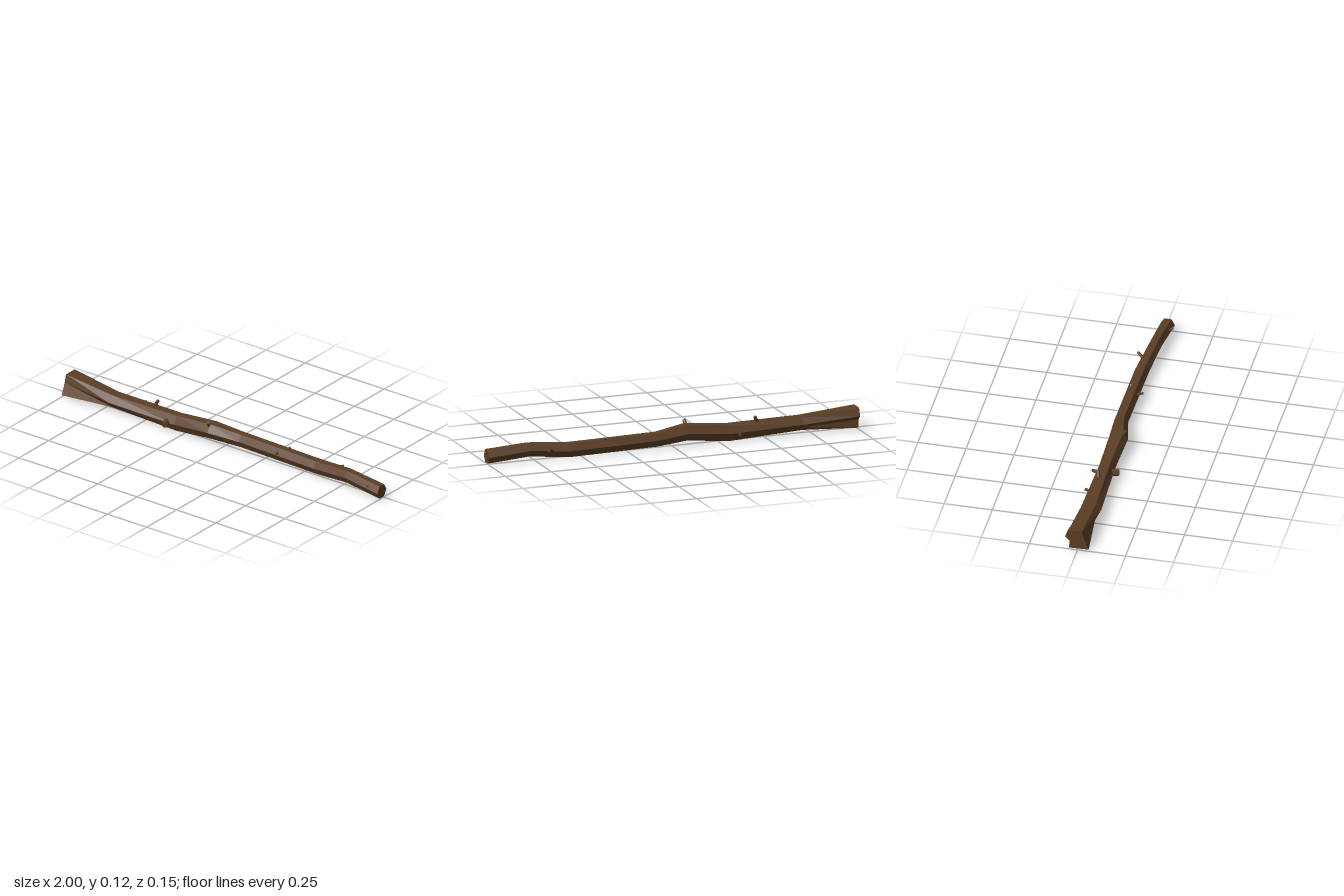
import * as THREE from 'three';

const bark = new THREE.MeshStandardMaterial({ color: 0x5c3f26, flatShading: true, roughness: 1, side: THREE.DoubleSide });

// Stations along the branch: [x, bottom, top, back, front]
const stations = [
  [-0.70, 0.025, 0.092, -0.050, 0.056],
  [-0.30, 0.005, 0.090, -0.045, 0.040],
  [-0.08, 0.030, 0.110, -0.045, 0.053],
  [0.09, 0.019, 0.089, -0.057, 0.014],
  [0.57, 0.010, 0.080, -0.057, 0.017],
  [0.78, 0.029, 0.095, -0.034, 0.034],
  [1.00, 0.009, 0.077, -0.023, 0.053],
];

// Flat-topped hexagon, with one extra corner on the lower back side
function ring([x, y0, y1, z0, z1]) {
  const ym = (y0 + y1) / 2, q = (z1 - z0) / 4;
  return [[z1, ym], [z1 - q, y1], [z0 + q, y1], [z0, ym], [z0 + q / 2, (y0 + ym) / 2], [z0 + q, y0], [z1 - q, y0]]
    .map(([z, y]) => new THREE.Vector3(x, y, z));
}

// Flared, notched thick end
const flaredEnd = [[0.033, 0.078], [0.022, 0.119], [-0.05, 0.12], [-0.065, 0.078], [-0.04, 0.055], [-0.045, 0.013], [0.058, 0.015]]
  .map(([z, y]) => new THREE.Vector3(-1, y, z));

function loft(rings) {
  const pos = [], n = rings[0].length;
  const tri = (...pts) => pts.forEach(p => pos.push(p.x, p.y, p.z));
  for (let i = 0; i < rings.length - 1; i++) {
    for (let j = 0; j < n; j++) {
      const k = (j + 1) % n, a = rings[i], b = rings[i + 1];
      tri(a[j], b[j], a[k]);
      tri(b[j], b[k], a[k]);
    }
  }
  // End caps
  const cap = (r, flip) => {
    const c = r.reduce((s, p) => s.add(p), new THREE.Vector3()).divideScalar(n);
    for (let j = 0; j < n; j++) {
      const k = (j + 1) % n;
      if (flip) tri(c, r[k], r[j]); else tri(c, r[j], r[k]);
    }
  };
  cap(rings[0], false);
  cap(rings[rings.length - 1], true);
  const g = new THREE.BufferGeometry();
  g.setAttribute('position', new THREE.Float32BufferAttribute(pos, 3));
  g.computeVertexNormals();
  return g;
}

// Short broken twigs: [root, tip, radius]
const twigs = [
  [[-0.47, 0.07, -0.01], [-0.445, 0.119, -0.018], 0.010],
  [[-0.56, 0.06, -0.03], [-0.55, 0.066, -0.062], 0.009],
  [[-0.37, 0.05, -0.02], [-0.345, 0.041, -0.072], 0.010],
  [[-0.36, 0.05, 0.01], [-0.34, 0.045, 0.066], 0.020],
  [[-0.09, 0.08, 0.015], [-0.083, 0.125, 0.043], 0.010],
  [[0.33, 0.06, 0.0], [0.345, 0.066, 0.038], 0.007],
  [[0.36, 0.06, -0.03], [0.38, 0.088, -0.035], 0.009],
  [[0.66, 0.055, -0.03], [0.695, 0.064, -0.07], 0.009],
  [[0.91, 0.05, 0.02], [0.94, 0.068, 0.056], 0.008],
];

function twig([root, tip, radius]) {
  const a = new THREE.Vector3(...root), b = new THREE.Vector3(...tip);
  const mesh = new THREE.Mesh(new THREE.CylinderGeometry(radius * 0.85, radius, a.distanceTo(b), 6), bark);
  mesh.position.copy(a).lerp(b, 0.5);
  mesh.quaternion.setFromUnitVectors(new THREE.Vector3(0, 1, 0), b.sub(a).normalize());
  mesh.name = 'twig';
  return mesh;
}

export function createModel() {
  const group = new THREE.Group();
  group.name = 'stick';
  const branch = new THREE.Mesh(loft([flaredEnd, ...stations.map(ring)]), bark);
  branch.name = 'branch';
  group.add(branch, ...twigs.map(twig));
  return group;
}
